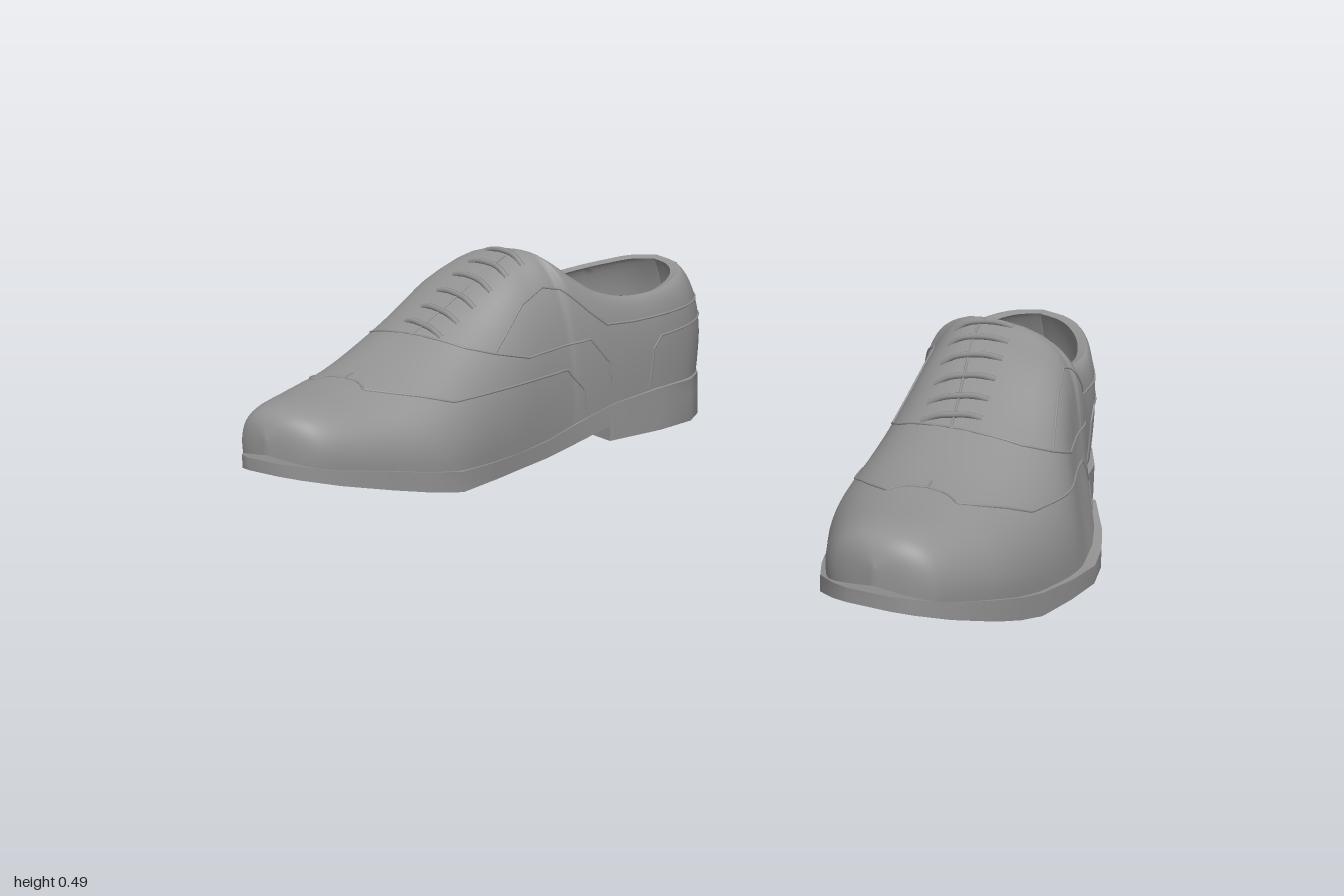
import * as THREE from 'three';
import { mergeGeometries, mergeVertices, toCreasedNormals } from 'three/addons/utils/BufferGeometryUtils.js';

const { clamp, lerp } = THREE.MathUtils;
const leather = new THREE.MeshStandardMaterial({ color: 0x929292, side: THREE.DoubleSide });

// Upper slices, toe to heel: z, inner x, outer x, base y, ridge x, opening half width, top y
const UPPER = [
  [.640, .785, .785, .13, .785, 0, .165],
  [.618, .70, .868, .115, .785, 0, .212],
  [.57, .643, .915, .10, .783, 0, .235],
  [.44, .568, .962, .075, .775, 0, .248],
  [.30, .502, .980, .05, .748, 0, .28],
  [.13, .488, .985, .04, .70, 0, .36],
  [0, .483, .957, .045, .66, 0, .44],
  [-.06, .478, .938, .05, .645, 0, .468],
  [-.11, .472, .917, .06, .635, 0, .487],
  [-.13, .467, .905, .065, .632, .06, .465],
  [-.17, .455, .88, .075, .63, .108, .42],
  [-.22, .440, .83, .09, .62, .138, .38],
  [-.30, .415, .80, .10, .605, .157, .355],
  [-.40, .388, .775, .11, .585, .165, .355],
  [-.50, .38, .725, .11, .57, .145, .365],
  [-.58, .41, .68, .11, .56, .11, .375],
  [-.63, .465, .63, .11, .555, .065, .385],
  [-.654, .55, .55, .11, .55, 0, .39],
];

// Sole slices, toe to heel: z, inner x, outer x, top y, bottom y
const SOLE = [
  [.652, .735, .83, .12, .09], [.63, .69, .87, .115, .083], [.57, .627, .92, .10, .065],
  [.46, .567, .965, .08, .035], [.38, .527, .98, .063, .015], [.30, .49, .99, .05, 0],
  [.18, .485, 1, .043, 0], [.07, .485, 1, .04, 0], [-.02, .48, .975, .045, .002],
  [-.10, .47, .94, .06, .012], [-.20, .445, .88, .085, .033], [-.24, .43, .826, .095, .042],
  [-.37, .385, .80, .11, .07], [-.48, .366, .745, .11, .07], [-.55, .39, .70, .11, .07],
  [-.61, .44, .66, .11, .07], [-.645, .51, .59, .11, .07],
];

// Smooth slice at u = 0 (toe) to 1 (heel)
const splines = UPPER[0].map((_, k) => new THREE.SplineCurve(UPPER.map(r => new THREE.Vector2(r[0], r[k]))));
function slice(u) {
  const [z, xi, xo, yb, xc, half, yt] = splines.map((s, k) => { const p = s.getPoint(u); return k ? p.y : p.x; });
  return { z, xi, xo, yb, xc, half: Math.max(0, half), yt };
}
function uAtZ(z) {
  let a = 0, b = 1;
  for (let i = 0; i < 30; i++) { const m = (a + b) / 2; if (slice(m).z > z) a = m; else b = m; }
  return (a + b) / 2;
}

// Point on the wall; side -1 inner, +1 outer; t = 0 at the sole, 1 at ridge or rim
function wall(s, side, t, inset = 0) {
  const a = t * Math.PI / 2;
  const c = t >= 1 ? 0 : Math.pow(Math.cos(a), .85);
  const mid = (s.xi + s.xo) / 2;
  const base = side < 0 ? Math.min(mid, s.xi + inset) : Math.max(mid, s.xo - inset);
  const top = s.xc + side * Math.max(0, s.half - inset);
  const bulge = .01 * Math.sin(Math.PI * t) * Math.min(1, Math.abs(s.xo - s.xi) * 4);
  // the outer instep draws in above the sole
  const waist = side > 0 ? .03 * Math.sin(2 * Math.PI * t) * Math.exp(-(((s.z + .05) / .13) ** 2)) : 0;
  const x = lerp(top, base, c) + side * bulge - waist;
  const y0 = s.yb + inset, y1 = s.yt - inset * .4;
  const y = y0 + (y1 - y0) * Math.sin(a);
  // the heel leans forward towards the collar
  const w = clamp((-.35 - s.z) / .3, 0, 1);
  const lean = y > .2 ? .05 * ((y - .2) / .19) ** 2 : .01 * (.2 - y) / .09;
  const z = inset ? -.2 + (s.z + .2) * .965 : s.z;
  return new THREE.Vector3(x, y, z + w * lean);
}

// Surface through rows of points
function loft(rows) {
  const n = rows[0].length, index = [];
  for (let i = 0; i < rows.length - 1; i++) for (let j = 0; j < n - 1; j++) {
    const a = i * n + j, c = a + n;
    index.push(a, a + 1, c, a + 1, c + 1, c);
  }
  const g = new THREE.BufferGeometry().setFromPoints(rows.flat());
  g.setIndex(index);
  g.computeVertexNormals();
  return g;
}

function mesh(name, geometry) {
  const m = new THREE.Mesh(geometry, leather);
  m.name = name;
  return m;
}

function makeUpper() {
  const N = 100, M = 16;
  const rows = side => Array.from({ length: N + 1 }, (_, i) => {
    const s = slice(i / N);
    return Array.from({ length: M + 1 }, (_, j) => wall(s, side, side < 0 ? j / M : 1 - j / M));
  });
  const g = mergeGeometries([loft(rows(-1)), loft(rows(1))]);
  g.deleteAttribute('normal');
  const merged = mergeVertices(g, 1e-4);
  merged.computeVertexNormals();
  return mesh('upper', merged);
}

// Collar edge, inner walls and insole
function makeLining() {
  const N = 60, M = 10, u0 = uAtZ(.05);
  const rows = [];
  for (let i = 0; i <= N; i++) {
    const s = slice(lerp(u0, 1, i / N)), row = [wall(s, -1, 1)];
    for (let j = M; j >= 0; j--) row.push(wall(s, -1, j / M, .015));
    for (let j = 0; j <= M; j++) row.push(wall(s, 1, j / M, .015));
    row.push(wall(s, 1, 1));
    rows.push(row);
  }
  return mesh('lining', toCreasedNormals(loft(rows), .8));
}

function makeSole() {
  const V = (x, y, z) => new THREE.Vector3(x, y, z);
  const rows = SOLE.map(([z, a, b, t, l]) => [V(a, l, z), V(a, t, z), V(b, t, z), V(b, l, z), V(a, l, z)]);
  const cap = ([z, a, b, t, l]) => Array.from({ length: 5 }, () => V((a + b) / 2, (t + l) / 2, z));
  return mesh('sole', toCreasedNormals(loft([cap(SOLE[0]), ...rows, cap(SOLE.at(-1))]), .6));
}

// Heel block with a slanted front, its top hidden in the sole
function makeHeel() {
  const back = SOLE.filter(r => r[0] < -.35);
  const pts = [[.437, -.22], ...back.map(r => [r[1], r[0]]),
    ...back.slice().reverse().map(r => [r[2], r[0]]), [.806, -.33]];
  const shape = new THREE.Shape(pts.map(([x, z]) => new THREE.Vector2(x, -z)));
  const g = new THREE.ExtrudeGeometry(shape, { depth: .075, bevelEnabled: false });
  g.rotateX(-Math.PI / 2);
  return mesh('heel', toCreasedNormals(g, .6));
}

const tube = (pts, r) => new THREE.TubeGeometry(new THREE.CatmullRomCurve3(pts), pts.length * 3, r, 6);

// Fine panel edge along [z, y] points laid onto the wall
function seam(name, path, side) {
  const pts = [];
  path.forEach(([z, y], i) => {
    const [z2, y2] = path[i + 1] ?? [z, y];
    const steps = i < path.length - 1 ? 8 : 1;
    for (let k = 0; k < steps; k++) {
      const s = slice(uAtZ(lerp(z, z2, k / steps)));
      const f = clamp((lerp(y, y2, k / steps) - s.yb) / (s.yt - s.yb), 0, 1);
      pts.push(wall(s, side, Math.asin(f) / (Math.PI / 2)));
    }
  });
  return mesh(name, tube(pts, .003));
}

const SEAMS = {
  wingCapEdge: [[.36, .27], [.41, .245], [.33, .225], [.27, .205], [-.10, .205], [-.145, .15], [-.15, .08]],
  facingEdge: [[.20, .33], [.165, .305], [.11, .285], [.02, .26], [-.17, .27], [-.22, .205], [-.225, .10]],
  collarBand: [[.11, .285], [.07, .315], [-.01, .38], [-.08, .41], [-.12, .40], [-.18, .335], [-.22, .30],
    [-.30, .295], [-.50, .30], [-.62, .305]],
  heelCounterEdge: [[-.345, .115], [-.355, .215], [-.38, .245], [-.50, .252], [-.635, .26]],
  backStrapEdge: [[-.632, .262], [-.632, .32], [-.632, .38]],
};

// Lace bars set square to the slanted axis of the shoe
function makeLaces() {
  const laces = new THREE.Group();
  laces.name = 'laces';
  for (let i = 0; i < 6; i++) {
    const at = (dz, side, t, lift) => {
      const p = wall(slice(uAtZ(.165 - i * .05 + dz)), side, t);
      p.y += lift;
      return p;
    };
    laces.add(mesh('lace', tube([at(.013, -1, .84, -.002), at(.007, -1, .93, .004), at(0, 1, 1, .004),
      at(-.007, 1, .95, .004), at(-.013, 1, .9, -.002)], .007)));
  }
  // slit between the facings
  const slit = [.19, .12, .04, -.04, -.105].map(z => wall(slice(uAtZ(z)), 1, 1));
  laces.add(mesh('facingSlit', tube(slit, .003)));
  return laces;
}

function makeShoe(name) {
  const shoe = new THREE.Group();
  shoe.name = name;
  shoe.add(makeUpper(), makeLining(), makeSole(), makeHeel(), makeLaces());
  for (const side of [-1, 1])
    for (const [seamName, path] of Object.entries(SEAMS)) shoe.add(seam(seamName, path, side));
  return shoe;
}

export function createModel() {
  const model = new THREE.Group();
  model.name = 'shoes';
  const right = makeShoe('rightShoe');
  right.scale.x = -1;
  model.add(makeShoe('leftShoe'), right);
  return model;
}
